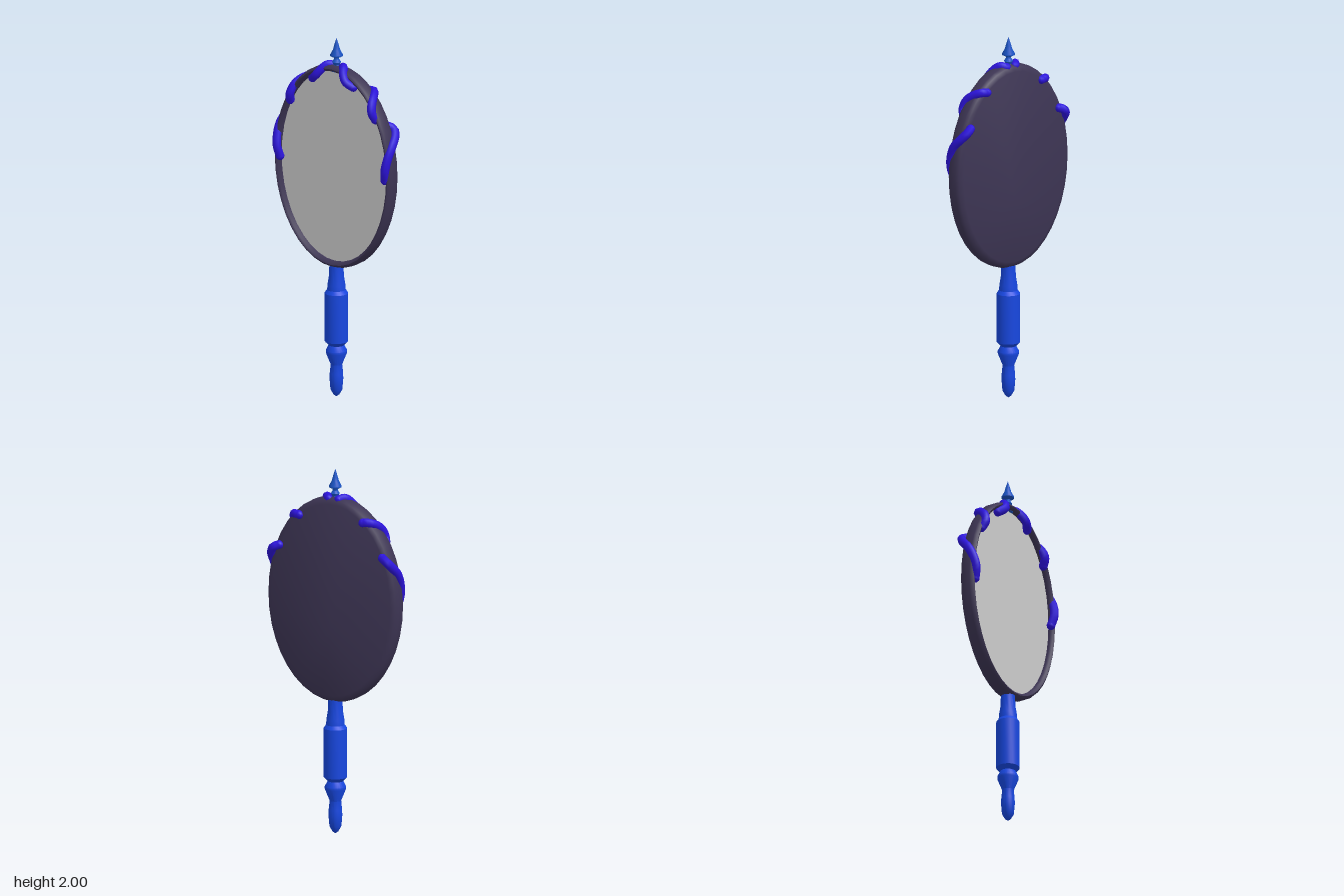
import * as THREE from 'three';
import { toCreasedNormals } from 'three/addons/utils/BufferGeometryUtils.js';

const CENTER_Y = 1.288;
const paint = (color) => new THREE.MeshStandardMaterial({ color });

// Turned part from [radius, height] pairs, with crisp ridges
function turned(points, sides) {
  const profile = points.map(([r, y]) => new THREE.Vector2(r, y));
  return toCreasedNormals(new THREE.LatheGeometry(profile, sides), 0.5);
}

function addMesh(parent, name, geometry, material) {
  const mesh = new THREE.Mesh(geometry, material);
  mesh.name = name;
  parent.add(mesh);
  return mesh;
}

// Vine strand with rounded ends
function vine(name, points, radius, material) {
  const group = new THREE.Group();
  group.name = name;
  const path = points.map((p) => new THREE.Vector3(...p));
  const curve = new THREE.CatmullRomCurve3(path);
  addMesh(group, 'strand', new THREE.TubeGeometry(curve, 16, radius, 8), material);
  for (const end of [path[0], path[path.length - 1]]) {
    addMesh(group, 'strandEnd', new THREE.SphereGeometry(radius, 8, 6), material).position.copy(end);
  }
  return group;
}

export function createModel() {
  const model = new THREE.Group();
  const blue = paint(0x1747e0);
  const finialBlue = paint(0x1a54c6);
  const violet = paint(0x2c13dc);
  const dark = paint(0x3d3554);

  // Oval frame: closed back, bevelled edge, raised front rim and recessed seat
  const frame = turned([
    [0, -0.043], [0.365, -0.042], [0.39, -0.032], [0.401, -0.012],
    [0.401, 0.028], [0.396, 0.043], [0.385, 0.051], [0.374, 0.045], [0.368, 0.03], [0.367, 0.012],
  ], 40);
  frame.rotateX(Math.PI / 2);
  // Stretch into an oval while keeping the rim width even
  const pos = frame.attributes.position;
  for (let i = 0; i < pos.count; i++) {
    const r = Math.hypot(pos.getX(i), pos.getY(i));
    if (r > 0) pos.setY(i, (pos.getY(i) / r) * (r + 0.161));
  }
  addMesh(model, 'frame', toCreasedNormals(frame, 0.8), dark).position.y = CENTER_Y;

  // Looking glass
  const glass = addMesh(model, 'glass', new THREE.CircleGeometry(1, 40), paint(0xcccccc));
  glass.scale.set(0.369, 0.53, 1);
  glass.position.set(0, CENTER_Y, 0.02);

  // Turned handle
  const handle = turned([
    [0, 0], [0.016, 0.012], [0.032, 0.04], [0.037, 0.1], [0.036, 0.13], [0.031, 0.18],
    [0.057, 0.245], [0.057, 0.258], [0.042, 0.288], [0.063, 0.31],
    [0.063, 0.578], [0.05, 0.597], [0.048, 0.625], [0.04, 0.675], [0.038, 0.735], [0, 0.75],
  ], 24);
  addMesh(model, 'handle', handle, blue).position.z = 0.007;

  // Spear-shaped finial
  const finial = turned([
    [0, 1.81], [0.028, 1.815], [0.026, 1.835], [0.016, 1.85], [0.024, 1.866], [0.014, 1.882],
    [0.014, 1.89], [0.034, 1.9], [0.034, 1.907], [0.019, 1.935], [0.014, 1.955], [0, 2],
  ], 20);
  addMesh(model, 'finial', finial, finialBlue).position.z = 0.006;

  // Vines wrapping the frame from back to front, mirrored left and right
  const strands = {
    upperVine: [[0.03, 1.838, -0.012], [0.055, 1.843, 0.015], [0.082, 1.812, 0.046], [0.105, 1.783, 0.055], [0.14, 1.757, 0.036]],
    middleVine: [[0.195, 1.735, -0.04], [0.225, 1.737, -0.034], [0.252, 1.722, 0.002], [0.27, 1.692, 0.037], [0.283, 1.645, 0.054], [0.294, 1.605, 0.036]],
    lowerVine: [[0.317, 1.557, -0.043], [0.345, 1.545, -0.056], [0.37, 1.512, -0.035], [0.384, 1.465, 0.008], [0.382, 1.41, 0.038], [0.373, 1.34, 0.054], [0.362, 1.28, 0.04]],
  };
  for (const [name, points] of Object.entries(strands)) {
    for (const side of [1, -1]) {
      const mirrored = points.map(([x, y, z]) => [side * x, y, z]);
      model.add(vine(name + (side > 0 ? 'Left' : 'Right'), mirrored, 0.024, violet));
    }
  }
  return model;
}
